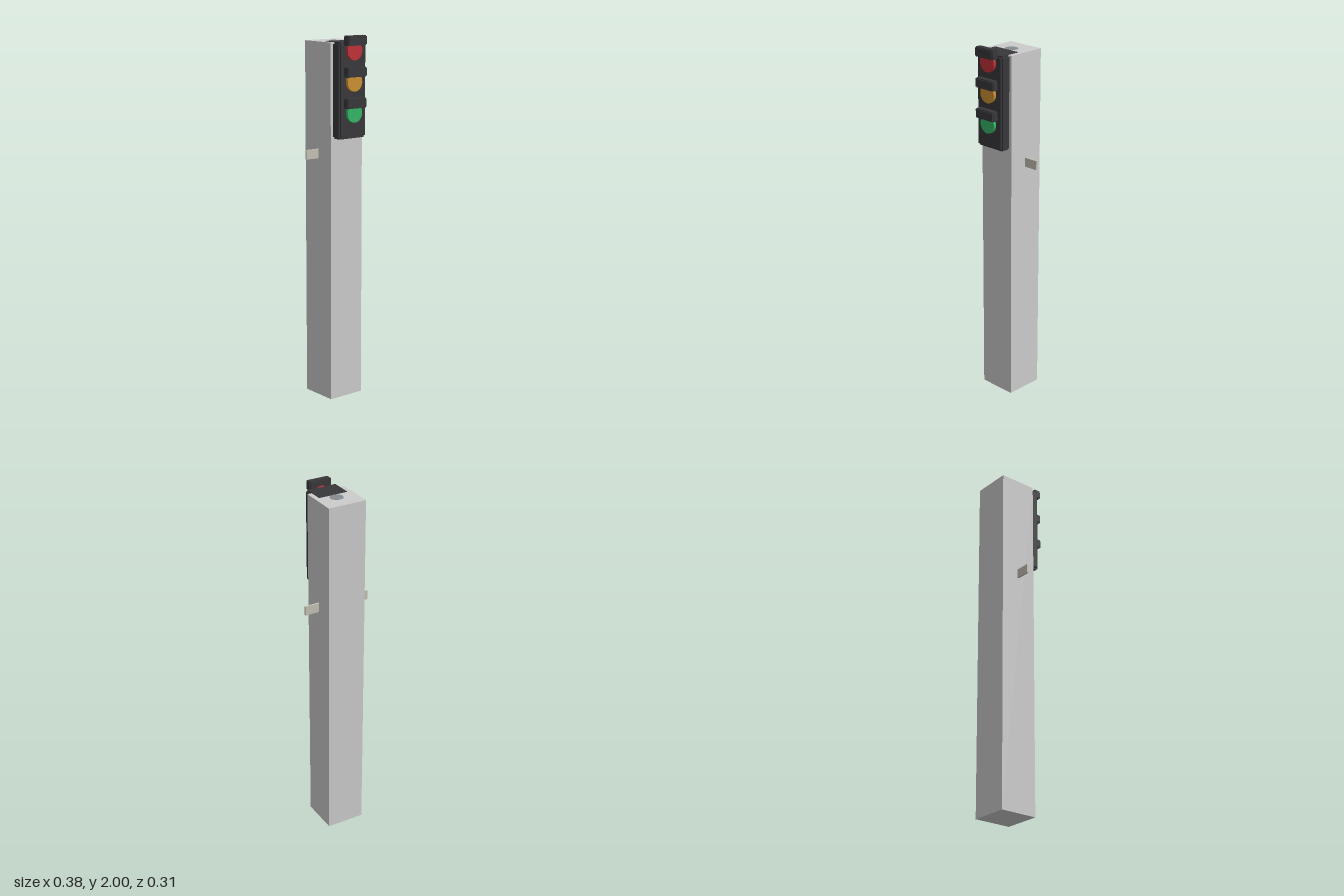
import * as THREE from 'three';

const mat = (color) => new THREE.MeshStandardMaterial({ color, flatShading: true });

export function createModel() {
  const model = new THREE.Group();
  const black = mat(0x38383b);

  const add = (parent, name, geometry, material, x, y, z) => {
    const mesh = new THREE.Mesh(geometry, material);
    mesh.name = name;
    mesh.position.set(x, y, z);
    parent.add(mesh);
    return mesh;
  };
  // box given by half width and its y and z ranges
  const box = (parent, name, material, hx, y0, y1, z0, z1) =>
    add(parent, name, new THREE.BoxGeometry(2 * hx, y1 - y0, z1 - z0), material,
      0, (y0 + y1) / 2, (z0 + z1) / 2);

  // Square post with a round core whose ends sit flush
  box(model, 'post', mat(0xcccccc), 0.108, 0, 1.964, -0.156, 0.061);
  add(model, 'poleCore', new THREE.CylinderGeometry(0.037, 0.037, 1.964, 10),
    mat(0x858b8f), 0, 0.983, -0.048);

  // Flat bar sticking out on both sides
  box(model, 'crossBar', mat(0xc4c1b4), 0.19, 1.341, 1.392, -0.053, -0.043);

  // Signal head: overlapping boxes leave stepped edges
  const head = new THREE.Group();
  head.name = 'signalHead';
  model.add(head);
  box(head, 'housingCore', black, 0.082, 1.456, 1.966, -0.014, 0.105);
  box(head, 'housingSides', black, 0.092, 1.466, 1.956, -0.004, 0.105);
  box(head, 'housingFace', black, 0.082, 1.466, 1.956, 0.1, 0.115);

  // Three lenses, each with a visor over its upper half
  const lights = [['red', 0xc03038, 1.92], ['amber', 0xcc9030, 1.756], ['green', 0x33b566, 1.592]];
  for (const [name, color, y] of lights) {
    const lens = add(head, name + 'Lens', new THREE.CylinderGeometry(0.05, 0.05, 0.03, 24),
      mat(color), 0, y, 0.116);
    lens.rotation.x = Math.PI / 2;

    const visor = new THREE.Group();
    visor.name = name + 'Visor';
    visor.position.y = y;
    head.add(visor);
    box(visor, 'visorCore', black, 0.06, 0.028, 0.08, 0.118, 0.149);
    box(visor, 'visorSides', black, 0.065, 0.033, 0.075, 0.118, 0.149);
    box(visor, 'visorFront', black, 0.06, 0.033, 0.075, 0.112, 0.155);
  }
  return model;
}
